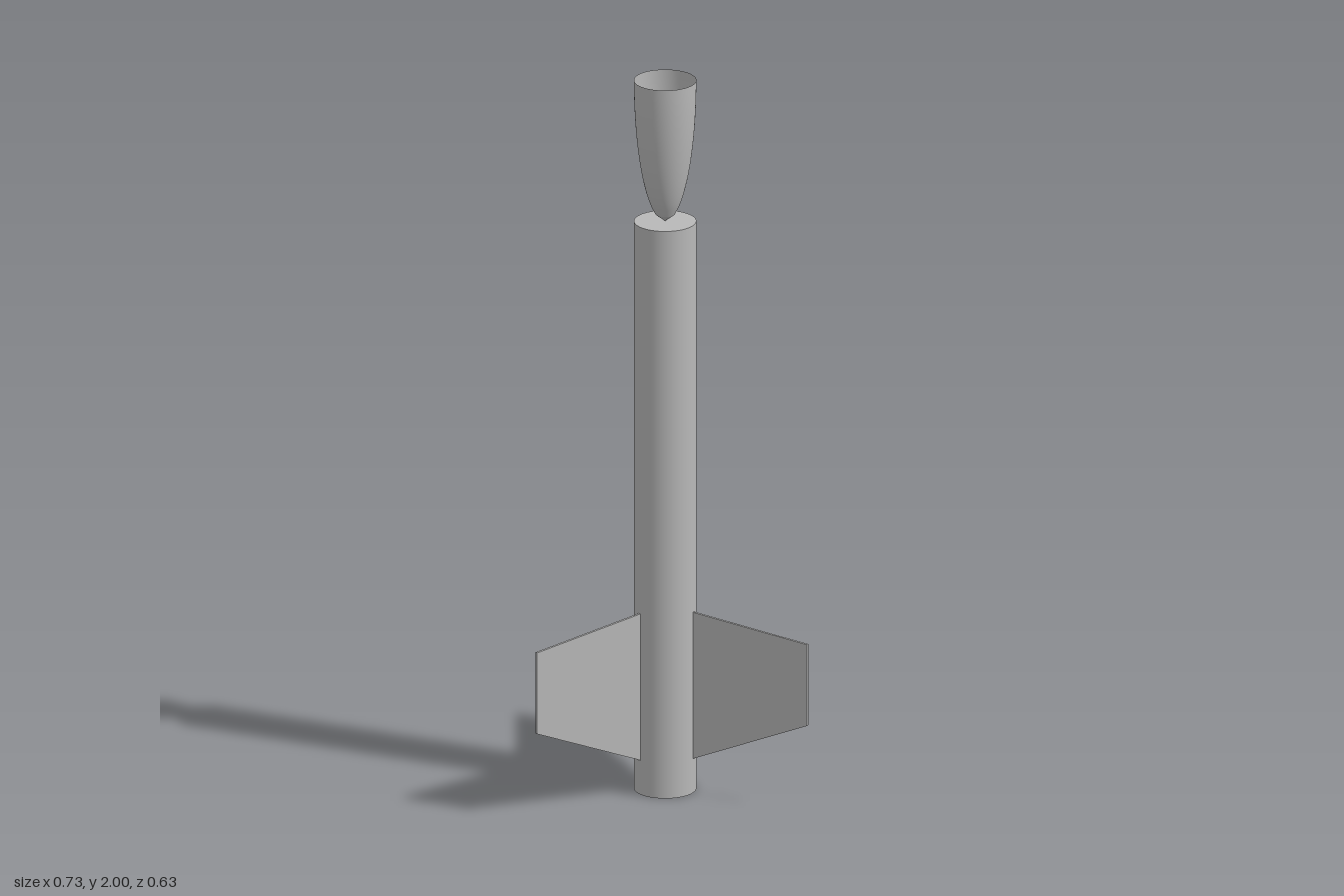
import * as THREE from 'three';

const AXIS_Z = 0.102; // the rocket axis sits forward of the centre
const R = 0.083, BODY_H = 1.602, NOSE_H = 0.398;

export function createModel() {
  const model = new THREE.Group();
  model.name = 'rocket';
  const grey = new THREE.MeshStandardMaterial({ color: 0xb8b8b8, side: THREE.DoubleSide });
  grey.name = 'grey';

  const rocket = new THREE.Group();
  rocket.name = 'rocketParts';
  rocket.position.z = AXIS_Z;
  model.add(rocket);

  function add(name, geometry, parent = rocket) {
    const mesh = new THREE.Mesh(geometry, grey);
    mesh.name = name;
    parent.add(mesh);
    return mesh;
  }

  // Body tube with closed ends
  add('bodyTube', new THREE.CylinderGeometry(R, R, BODY_H, 64)).position.y = BODY_H / 2;

  // Upturned elliptical nose shell, open at the top, with a blunt conical tip
  const steps = 20;
  const profile = [];
  for (let i = 0; i <= steps; i++) {
    const t = i / steps;
    profile.push(new THREE.Vector2(R * Math.sqrt(1 - (1 - t) ** 2), BODY_H + NOSE_H * t));
  }
  add('noseTip', new THREE.LatheGeometry(profile.slice(0, 2), 64));
  add('noseShell', new THREE.LatheGeometry(profile.slice(1), 64));

  // Three swept trapezoid fins, 120 degrees apart, one straight back
  const thickness = 0.007;
  const outline = new THREE.Shape([
    new THREE.Vector2(R - 0.001, 0.096),
    new THREE.Vector2(0.418, 0.24),
    new THREE.Vector2(0.418, 0.469),
    new THREE.Vector2(R - 0.001, 0.51),
  ]);
  const finGeometry = new THREE.ExtrudeGeometry(outline, { depth: thickness, bevelEnabled: false });
  finGeometry.translate(0, 0, -thickness / 2);
  ['backFin', 'rightFin', 'leftFin'].forEach((name, i) => {
    add(name, finGeometry).rotation.y = Math.PI / 2 + i * Math.PI * 2 / 3;
  });

  // Launch lug on the left side of the body
  add('launchLug', new THREE.CylinderGeometry(0.0085, 0.0085, 0.12, 24)).position.set(R + 0.0075, 0.25, 0);

  return model;
}
